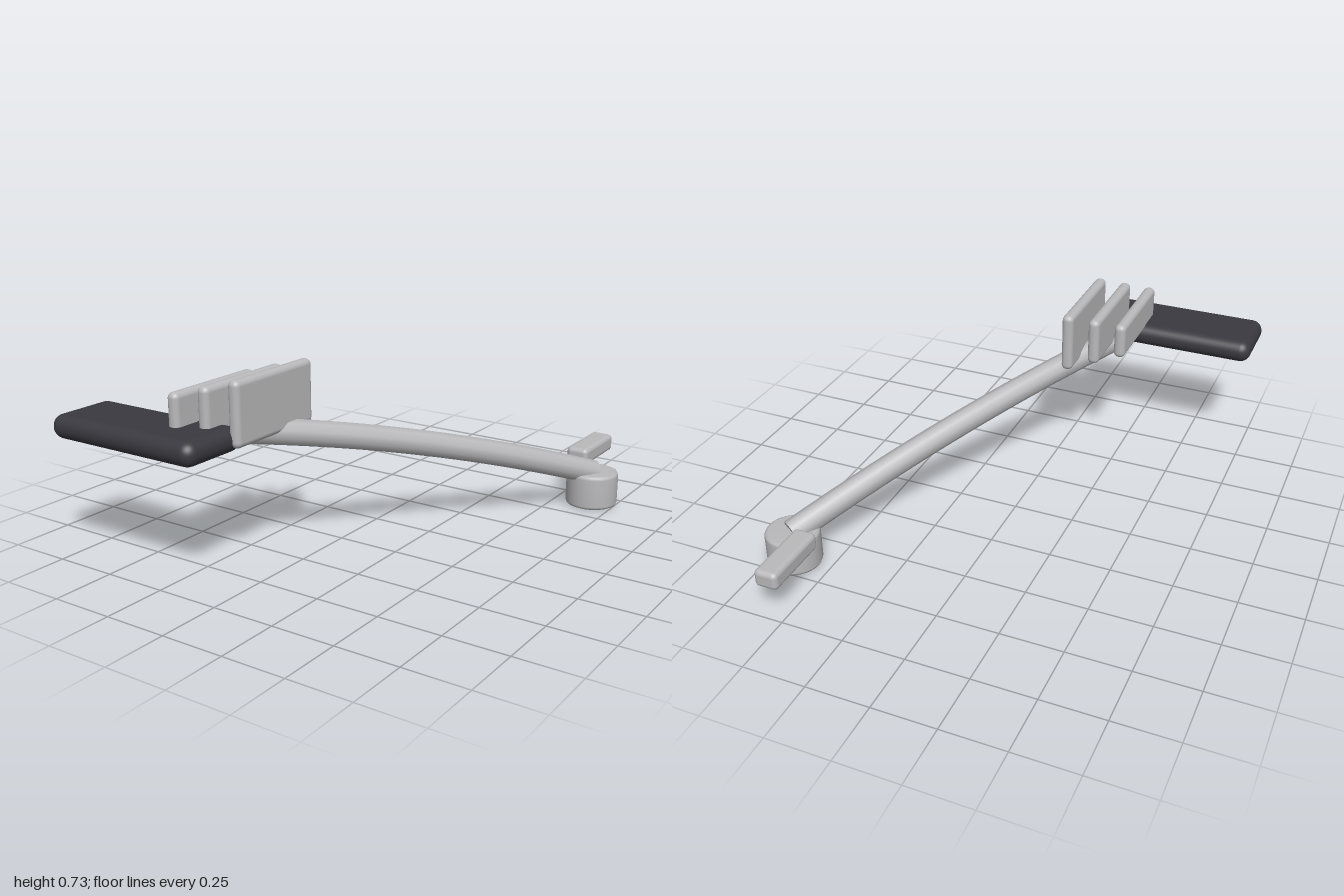
import * as THREE from 'three';
import { RoundedBoxGeometry } from 'three/addons/geometries/RoundedBoxGeometry.js';

const material = (name, color) => {
  const m = new THREE.MeshStandardMaterial({ color });
  m.name = name;
  return m;
};

export function createModel() {
  const model = new THREE.Group();
  const grey = material('light grey', 0xb9b9bb);
  const dark = material('charcoal', 0x3a393f);

  const add = (name, geometry, mat, x = 0, y = 0, z = 0) => {
    const mesh = new THREE.Mesh(geometry, mat);
    mesh.name = name;
    mesh.position.set(x, y, z);
    model.add(mesh);
    return mesh;
  };
  const slab = (name, w, h, d, r, mat, x, y, z) =>
    add(name, new RoundedBoxGeometry(w, h, d, 4, r), mat, x, y, z);

  // Flat rounded lamp head
  slab('head', 0.68, 0.093, 0.29, 0.045, dark, -0.424, 0.515, 0.855);

  // Three upright fins, each taller than the last
  for (let i = 0; i < 3; i++) {
    slab('fin', 0.048, 0.147 + i * 0.049, 0.435, 0.022, grey,
      -0.276 + i * 0.097, 0.612, 0.655 - i * 0.048);
  }

  // Round base with small bevelled rims
  const R = 0.107, H = 0.146, b = 0.015, k = 0.3 * b;
  const profile = [[0, 0], [R - b, 0], [R - k, k], [R, b], [R, H - b],
    [R - k, H - k], [R - b, H], [0, H]].map(([x, y]) => new THREE.Vector2(x, y));
  const base = new THREE.LatheGeometry(profile, 32);
  add('base', base, grey, 0.651, 0, -0.663);

  // Gently arched arm with closed ends
  const curve = new THREE.QuadraticBezierCurve3(
    new THREE.Vector3(0.652, 0.135, -0.668),
    new THREE.Vector3(0.224, 0.405, 0.003),
    new THREE.Vector3(-0.205, 0.515, 0.675));
  add('arm', new THREE.TubeGeometry(curve, 24, 0.051, 10, false), grey);
  for (const t of [0, 1]) {
    const p = curve.getPoint(t);
    const out = curve.getTangent(t).multiplyScalar(t ? 1 : -1);
    const cap = add('armEnd', new THREE.CircleGeometry(0.05, 10), grey, p.x, p.y, p.z);
    cap.quaternion.setFromUnitVectors(new THREE.Vector3(0, 0, 1), out);
  }

  // Small lever behind the base
  slab('lever', 0.095, 0.073, 0.287, 0.02, grey, 0.552, 0.173, -0.857);

  return model;
}
